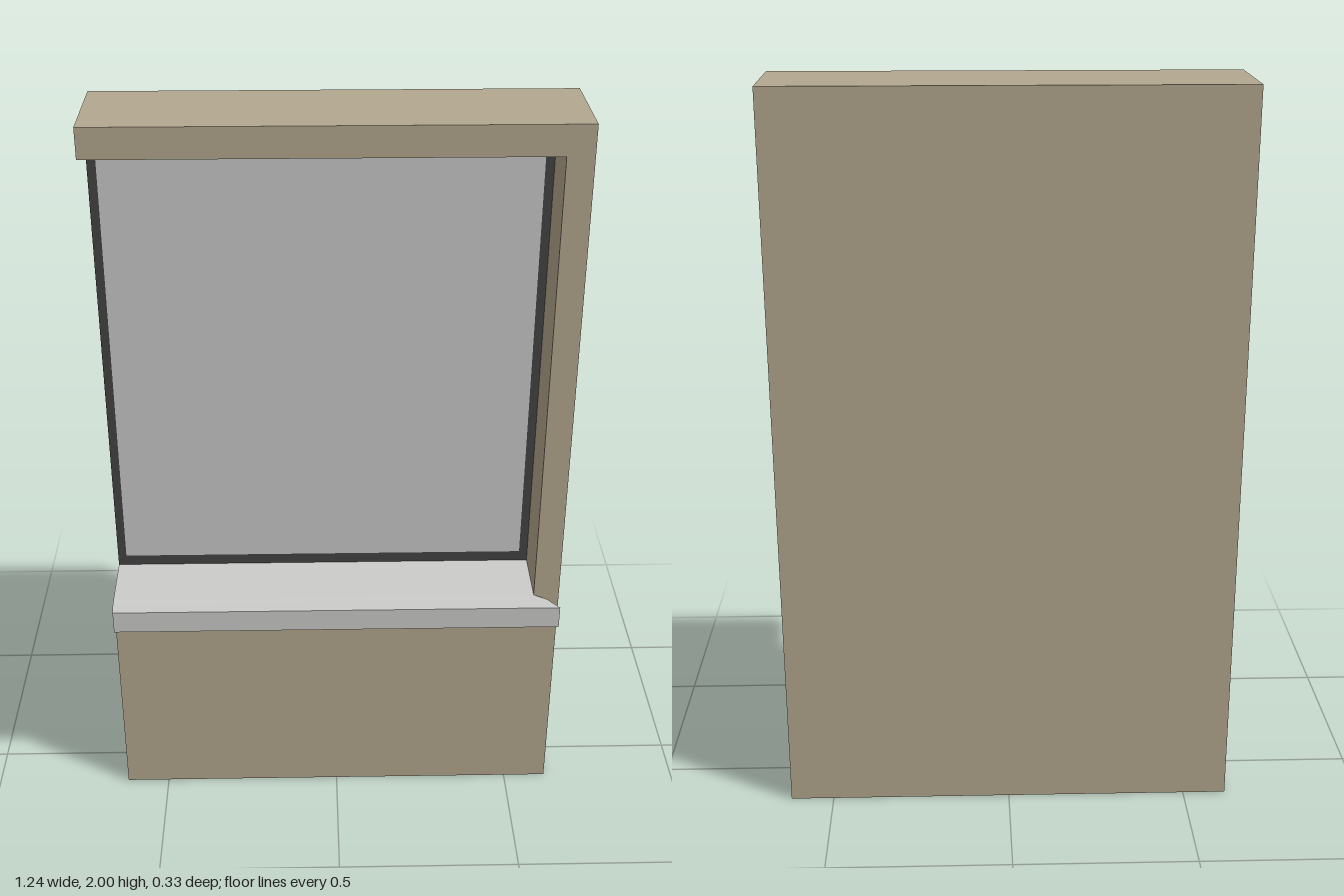
import * as THREE from 'three';

const sheet = (name, color) => {
  const m = new THREE.MeshStandardMaterial({ color, side: THREE.DoubleSide });
  m.name = name;
  return m;
};

// Flat-shaded strip of quads between two rails of [x, y, z] points
function strip(railA, railB) {
  const p = [];
  for (let i = 0; i < railA.length - 1; i++) {
    const [a, b, c, d] = [railA[i], railB[i], railB[i + 1], railA[i + 1]];
    p.push(...a, ...b, ...c, ...a, ...c, ...d);
  }
  const g = new THREE.BufferGeometry();
  g.setAttribute('position', new THREE.Float32BufferAttribute(p, 3));
  g.computeVertexNormals();
  return g;
}
const quad = (a, b, c, d) => strip([a, d], [b, c]);
const outline = (pts) => new THREE.Shape(pts.map(([x, y]) => new THREE.Vector2(x, y)));

export function createModel() {
  const group = new THREE.Group();
  const plaster = sheet('plaster', 0xb3a78e);
  const cutFace = sheet('dark cut face', 0x3b3534);
  const frameMat = sheet('window frame', 0x444444);
  const paneMat = sheet('window pane', 0xc9c9c8);
  const sillMat = sheet('sill', 0xcbcbc9);

  const add = (name, geometry, material) => {
    const mesh = new THREE.Mesh(geometry, material);
    mesh.name = name;
    group.add(mesh);
    return mesh;
  };

  const X = 0.62, JAMB = 0.55, H = 2;
  const BACK = -0.165, FRONT = 0.125, NOSE = 0.165, WIN = -0.04;
  const LOW = 0.57, SILL = 0.66, HEAD = 1.92, TOP = 1.91;

  // Front of the wall: apron, jamb and lintel in one C-shaped face
  add('frontWall', new THREE.ShapeGeometry(outline([
    [-X, 0], [X, 0], [X, H], [-X, H], [-X, HEAD], [JAMB, HEAD], [JAMB, LOW], [-X, LOW],
  ])), plaster).position.z = FRONT;

  // Hollow shell, open at the -x end
  add('backWall', quad([X, 0, BACK], [-X, 0, BACK], [-X, H, BACK], [X, H, BACK]), plaster);
  add('topWall', quad([-X, H, FRONT], [X, H, FRONT], [X, H, BACK], [-X, H, BACK]), plaster);
  add('bottomWall', quad([-X, 0, BACK], [X, 0, BACK], [X, 0, FRONT], [-X, 0, FRONT]), plaster);

  // Side face in three bands, the middle one dark
  [['lowerSide', 0, SILL, plaster], ['middleSide', SILL, HEAD, cutFace], ['upperSide', HEAD, H, plaster]]
    .forEach(([name, y0, y1, mat]) =>
      add(name, quad([X, y0, FRONT], [X, y0, BACK], [X, y1, BACK], [X, y1, FRONT]), mat));

  // Reveals around the window recess
  add('headReveal', quad([-X, TOP, WIN], [JAMB, TOP, WIN], [JAMB, HEAD, FRONT], [-X, HEAD, FRONT]), plaster);
  add('jambReveal', quad([JAMB, LOW, WIN], [JAMB, LOW, FRONT], [JAMB, HEAD, FRONT], [JAMB, TOP, WIN]), plaster);

  // Window frame and pane
  const frame = outline([[-X, SILL], [JAMB, SILL], [JAMB, TOP], [-X, TOP]]);
  const inner = [[-0.597, 0.69], [-0.597, 1.875], [0.527, 1.875], [0.527, 0.69]];
  frame.holes.push(outline(inner));
  add('windowFrame', new THREE.ShapeGeometry(frame), frameMat).position.z = WIN;
  add('windowPane', new THREE.ShapeGeometry(outline(inner)), paneMat).position.z = WIN;

  // Sill: folded section [z, y] with its nose mitred at the +x end
  const section = [[WIN, SILL], [FRONT, 0.652], [0.145, 0.65], [NOSE, 0.635], [NOSE, LOW]];
  const endX = (z) => JAMB + (X - JAMB) * Math.max(0, (z - FRONT) / (NOSE - FRONT));
  add('sill', strip(
    section.map(([z, y]) => [-X, y, z]).reverse(),
    section.map(([z, y]) => [endX(z), y, z]).reverse()), sillMat);
  add('sillUnderside', quad([-X, LOW, FRONT], [X, LOW, FRONT], [X, LOW, NOSE], [-X, LOW, NOSE]), sillMat);
  const nose = section.slice(1);
  add('sillMitre', strip(
    nose.map(([z, y]) => [endX(z), y, z]),
    nose.map(([z]) => [endX(z), LOW, z])), sillMat);

  return group;
}
